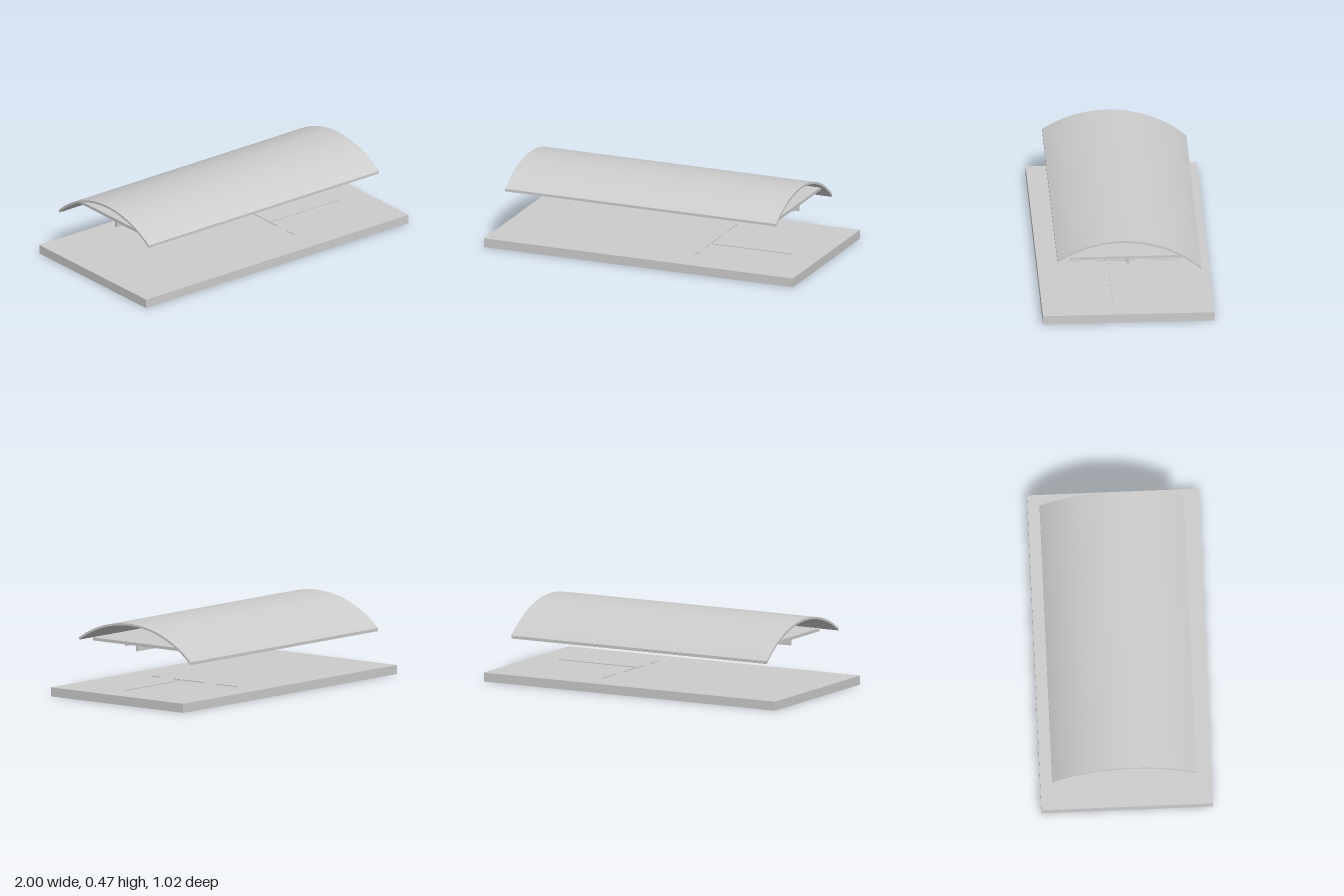
import * as THREE from 'three';
import { toCreasedNormals } from 'three/addons/utils/BufferGeometryUtils.js';

export function createModel() {
  const model = new THREE.Group();
  model.name = 'pavilion';
  const grey = new THREE.MeshStandardMaterial({ color: 0xcccccc });
  grey.name = 'light grey';

  // Box given by its limits along each axis
  function box(name, [x0, x1], [y0, y1], [z0, z1], parent = model) {
    const mesh = new THREE.Mesh(new THREE.BoxGeometry(x1 - x0, y1 - y0, z1 - z0), grey);
    mesh.position.set((x0 + x1) / 2, (y0 + y1) / 2, (z0 + z1) / 2);
    mesh.name = name;
    parent.add(mesh);
  }

  // Ground plate
  box('base', [-1, 1], [0, 0.055], [-0.512, 0.512]);

  // Low wall tracks on the floor: a broken line across and one long branch
  const tracks = new THREE.Group();
  tracks.name = 'floorTracks';
  model.add(tracks);
  for (const z of [[0.252, 0.32], [-0.08, 0.157], [-0.334, -0.175]])
    box('crossTrack', [0.28, 0.288], [0.05, 0.06], z, tracks);
  box('longTrack', [0.288, 0.82], [0.05, 0.06], [0.079, 0.087], tracks);

  // Flat ceiling with its ribs and the main beam
  box('ceiling', [-0.82, 0.82], [0.334, 0.352], [-0.348, 0.337]);
  box('crossRib', [0.28, 0.288], [0.325, 0.335], [-0.334, 0.32]);
  box('longRib', [0.288, 0.82], [0.325, 0.335], [0.079, 0.087]);
  box('beam', [-0.82, 0.82], [0.302, 0.335], [-0.013, 0.004]);

  // Vaulted roof: a thin circular arc, cut plumb at both eaves
  const zFront = 0.418, zBack = -0.444, zMid = 0.03, yMid = -0.227, steps = 64;
  const outer = [], inner = [];
  for (let i = 0; i <= steps; i++) {
    const z = zFront + (zBack - zFront) * i / steps;
    const height = r => yMid + Math.sqrt(r * r - (z - zMid) ** 2);
    outer.push(new THREE.Vector2(-z, height(0.695)));
    inner.unshift(new THREE.Vector2(-z, height(0.682)));
  }
  const arc = new THREE.ExtrudeGeometry(new THREE.Shape([...outer, ...inner]),
    { depth: 1.755, bevelEnabled: false });
  arc.rotateY(Math.PI / 2);
  arc.translate(-0.905, 0, 0);
  const roof = new THREE.Mesh(toCreasedNormals(arc, 0.5), grey);
  roof.name = 'vaultedRoof';
  model.add(roof);

  return model;
}
